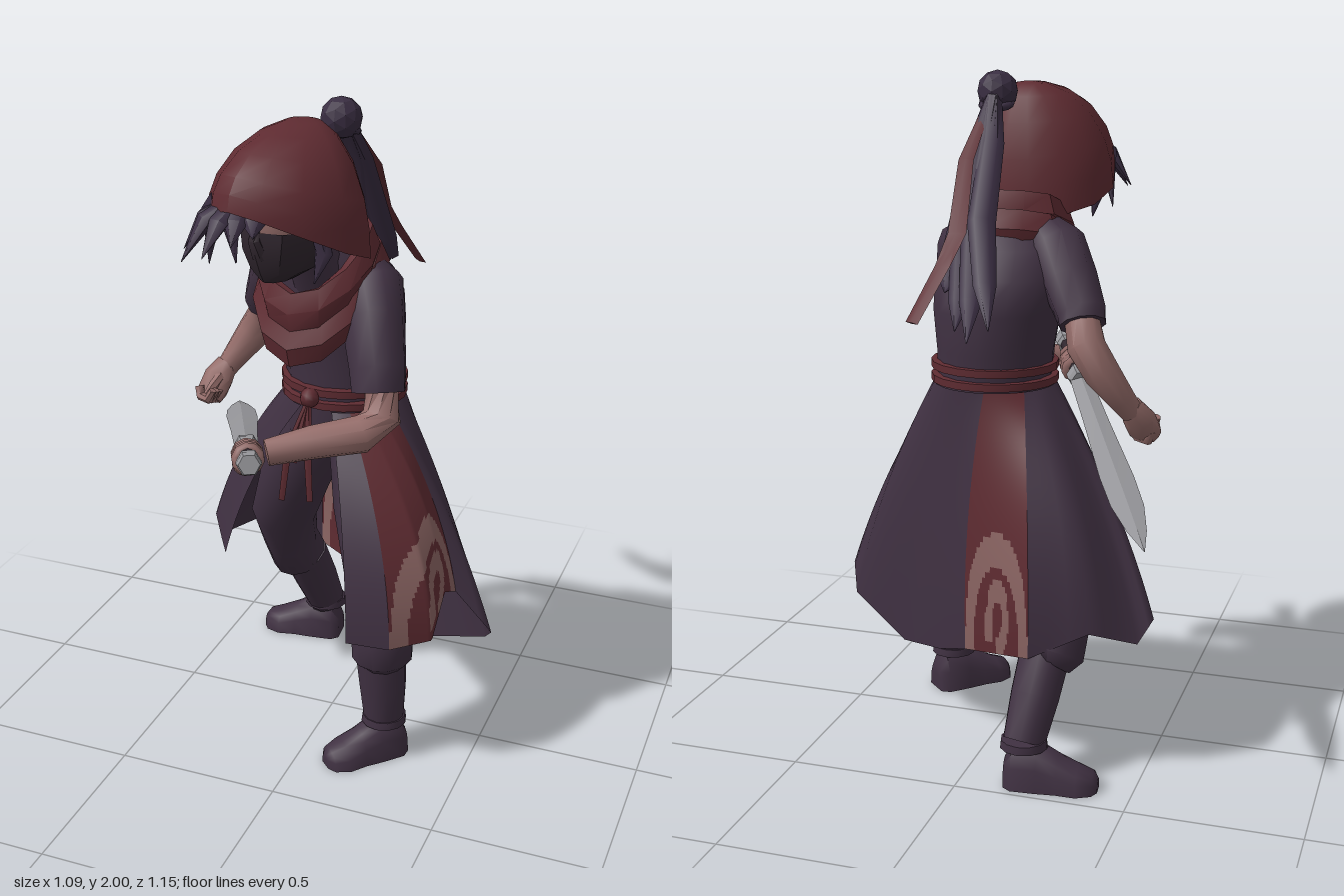
import * as THREE from 'three';
import { toCreasedNormals } from 'three/addons/utils/BufferGeometryUtils.js';

const mat = (name, color, side = THREE.FrontSide) => {
  const m = new THREE.MeshStandardMaterial({ color, side });
  m.name = name;
  return m;
};
const V = (x, y, z) => new THREE.Vector3(x, y, z);

export function createModel() {
  const root = new THREE.Group();
  const cloth = mat('plum cloth', 0x403142, THREE.DoubleSide);
  const red = mat('dark red cloth', 0x5e2b31, THREE.DoubleSide);
  const pink = mat('dusty pattern', 0x8a6462, THREE.DoubleSide);
  const skin = mat('skin', 0x946c69);
  const dark = mat('mask black', 0x30262e);
  const hair = mat('hair', 0x3a2e42);
  const steel = mat('steel', 0x97979b);

  const add = (name, geo, material, parent = root, pos) => {
    const m = new THREE.Mesh(geo, material);
    m.name = name;
    if (pos) m.position.set(...pos);
    parent.add(m);
    return m;
  };

  // Skin a list of rings; rings turn counter-clockwise about the travel direction
  const loft = (rings, { cap = true, loop = false, crease = 0.9 } = {}) => {
    const n = rings[0].length, pos = [], idx = [];
    rings.forEach(r => r.forEach(p => pos.push(p.x, p.y, p.z)));
    const rows = loop ? rings.length : rings.length - 1;
    for (let i = 0; i < rows; i++) for (let j = 0; j < n; j++) {
      const k = (j + 1) % n, i2 = (i + 1) % rings.length;
      const a = i * n + j, b = i * n + k, c = i2 * n + k, d = i2 * n + j;
      idx.push(a, b, c, a, c, d);
    }
    if (cap && !loop) [0, rings.length - 1].forEach((i, e) => {
      const c = V(0, 0, 0);
      rings[i].forEach(p => c.addScaledVector(p, 1 / n));
      const ci = pos.length / 3;
      pos.push(c.x, c.y, c.z);
      for (let j = 0; j < n; j++) {
        const a = i * n + j, b = i * n + (j + 1) % n;
        e ? idx.push(ci, a, b) : idx.push(ci, b, a);
      }
    });
    const g = new THREE.BufferGeometry();
    g.setAttribute('position', new THREE.Float32BufferAttribute(pos, 3));
    g.setIndex(idx);
    g.computeVertexNormals();
    return toCreasedNormals(g, crease);
  };

  // Tapered tube through points [x, y, z, radius, second radius]
  const limb = (pts, n = 10, crease = 0.9) => {
    const P = pts.map(p => V(p[0], p[1], p[2]));
    const all = P[P.length - 1].clone().sub(P[0]).normalize();
    const ref = Math.abs(all.y) > 0.8 ? V(0, 0, 1) : V(0, 1, 0);
    return loft(P.map((p, i) => {
      const T = P[Math.min(i + 1, P.length - 1)].clone().sub(P[Math.max(i - 1, 0)]).normalize();
      const U = ref.clone().cross(T).normalize(), W = T.clone().cross(U);
      const r = pts[i][3], r2 = pts[i][4] ?? r;
      return Array.from({ length: n }, (_, j) => {
        const a = j / n * Math.PI * 2;
        return p.clone().addScaledVector(U, r * Math.cos(a)).addScaledVector(W, r2 * Math.sin(a));
      });
    }), { crease });
  };
  // Level ring; angle 0 faces front and turns toward +x
  const ring = (cx, y, cz, rx, rz, n = 16, yf = () => 0) => Array.from({ length: n }, (_, j) => {
    const a = j / n * Math.PI * 2;
    return V(cx + rx * Math.sin(a), y + yf(Math.cos(a)), cz + rz * Math.cos(a));
  });

  // Torso, leaning forward
  add('tunic', loft([
    [.02, .98, -.05, .175, .16], [.02, 1.1, -.05, .17, .17], [.015, 1.2, -.055, .175, .168], [.01, 1.32, -.055, .19, .18],
    [0, 1.42, -.04, .2, .172], [0, 1.5, -.01, .18, .14], [0, 1.56, .02, .14, .11], [0, 1.6, .04, .09, .08],
  ].map(r => ring(...r))), cloth);
  add('neck', limb([[0, 1.48, .06, .09], [-.03, 1.64, .15, .07]]), cloth);

  // Belt cords, knot and hanging ends
  for (const y of [1.115, 1.155])
    add('beltCord', loft([[.165, -.015], [.19, -.011], [.19, .011], [.165, .015]]
      .map(([r, dy]) => ring(.02, y + dy, -.05, r, r * .96, 20)), { loop: true }), red);
  add('beltKnot', new THREE.SphereGeometry(.03, 8, 6), red, root, [-.02, 1.14, .135]);
  for (const [x, y] of [[-.09, .82], [.0, .83], [-.05, .95]])
    add('beltEnd', limb([[-.02, 1.14, .14, .008], [x * .7 - .01, .98, .18, .012, .005], [x, y, .19, .01, .004]], 5), red);

  // Open skirt: columns of [waist angle, hem x, y, z, fullness] per panel
  const skirtPoint = (col, v) => {
    const a = col[0] * Math.PI / 180;
    const W = V(.02 + .182 * Math.sin(a), 1.1, -.05 + .178 * Math.cos(a));
    const H = V(col[1], col[2], col[3]), C = W.clone().lerp(H, col[4]);
    C.y = W.y + (H.y - W.y) * .48;
    return W.multiplyScalar((1 - v) ** 2).addScaledVector(C, 2 * v * (1 - v)).addScaledVector(H, v * v);
  };
  // Broad arch with a curl inside, in panel coordinates
  const isPattern = (u, v) => {
    const p = (u - .5) * 2, q = (1 - v) / .48;
    const r = (Math.abs(p) ** 2.5 + q ** 2.5) ** .4, s = Math.hypot(p - .05, q - .3);
    return (r > .7 && r < .98) || (s > .14 && s < .34 && !(p < 0 && q < .3))
      || (p > -.36 && p < -.12 && q < .32 && q > .1);
  };
  const panel = (name, cols, patterned) => {
    const nu = patterned ? 40 : (cols.length - 1) * 3, nv = 44;
    const pos = [], plain = [], marked = [];
    for (let i = 0; i <= nu; i++) {
      const f = i / nu * (cols.length - 1), k = Math.min(Math.floor(f), cols.length - 2);
      const col = cols[k].map((c, m) => c + (cols[k + 1][m] - c) * (f - k));
      for (let j = 0; j <= nv; j++) pos.push(...skirtPoint(col, j / nv).toArray());
    }
    for (let i = 0; i < nu; i++) for (let j = 0; j < nv; j++) {
      const a = i * (nv + 1) + j, b = a + nv + 1;
      const list = patterned && isPattern((i + .5) / nu, (j + .5) / nv) ? marked : plain;
      list.push(a, a + 1, b, b, a + 1, b + 1);
    }
    const g = new THREE.BufferGeometry();
    g.setAttribute('position', new THREE.Float32BufferAttribute(pos, 3));
    g.setIndex([...plain, ...marked]);
    g.addGroup(0, plain.length, 0);
    g.addGroup(plain.length, marked.length, 1);
    g.computeVertexNormals();
    add(name, g, [patterned ? red : cloth, pink]);
  };
  const backR = [-135, -.185, .37, -.385, 1.2], backL = [-173, .04, .33, -.28, 1.15];
  const sideB = [66, .43, .56, .09, .8], sideF = [25, .31, .48, .35, 1];
  panel('skirtBackRedPanel', [backL, backR], true);
  panel('skirtRightPanel', [backR, [-122, -.36, .46, -.37, .9], [-105, -.48, .41, -.28, .72], [-85, -.52, .48, -.25, .68],
    [-55, -.42, .49, -.08, .7], [-25, -.36, .5, .02, .7]]);
  panel('skirtLeftPanel', [sideB, [74, .54, .43, .07, .65], [100, .5, .36, -.01, .68], [140, .3, .26, -.11, .8],
    [165, .15, .29, -.21, 1], [187, .04, .33, -.28, 1.15]]);
  panel('skirtLeftRedPanel', [sideF, [38, .415, .49, .27, .95], [52, .42, .6, .17, .88], sideB], true);
  panel('skirtFrontPanel', [[8, .18, .48, .36, .95], sideF]);

  // Legs and boots
  const leg = (side, trouser, boot, heel, toe) => {
    add(side + 'Trouser', limb(trouser, 12), cloth);
    add(side + 'BootShaft', limb(boot, 12), cloth);
    const [x, y, z] = boot[boot.length - 1];
    add(side + 'BootCuff', limb([[x, y + .012, z, .067], [x, y - .012, z, .07]], 12), cloth);
    const dx = toe[0] - heel[0], dz = toe[1] - heel[1], s = Math.hypot(dx, dz) / .28;
    const foot = add(side + 'Boot', loft([
      [0, .04, .08], [.025, .06, .13], [.1, .062, .135], [.16, .06, .1], [.22, .066, .07], [.265, .048, .055], [.28, .022, .035],
    ].map(([l, w, h]) => Array.from({ length: 9 }, (_, j) => {
      const a = j / 8 * Math.PI;
      return V(w * Math.cos(a), h * Math.max(Math.sin(a), 0) ** .7, l * s);
    }))), cloth, root, [heel[0], 0, heel[1]]);
    foot.rotation.y = Math.atan2(dx, dz);
  };
  leg('left', [[.1, 1.0, -.02, .115], [.155, .8, .09, .11], [.21, .6, .17, .097], [.235, .42, .195, .093], [.237, .36, .195, .093], [.235, .345, .19, .07]],
    [[.23, .37, .19, .077], [.237, .25, .185, .072], [.24, .13, .18, .062]], [.285, .13], [.1, .32]);
  leg('right', [[-.06, 1.0, -.07, .12], [-.15, .8, -.09, .115], [-.23, .6, -.16, .105], [-.245, .45, -.25, .09], [-.235, .36, -.3, .093], [-.225, .34, -.31, .07]],
    [[-.215, .38, -.29, .076], [-.2, .25, -.36, .072], [-.185, .13, -.42, .062]], [-.13, -.425], [-.4, -.395]);

  // Arms
  const arm = (side, sleeve, fore) => {
    add(side + 'Sleeve', limb(sleeve), cloth);
    add(side + 'Forearm', limb(fore), skin);
  };
  arm('left', [[.09, 1.53, .02, .06], [.135, 1.48, .05, .095], [.165, 1.4, .11, .092], [.205, 1.28, .18, .082], [.215, 1.22, .2, .078]],
    [[.215, 1.26, .18, .05], [.23, 1.15, .21, .056], [.19, 1.115, .27, .055], [.07, 1.1, .34, .048], [-.04, 1.08, .41, .038]]);
  arm('right', [[-.1, 1.55, 0, .06], [-.16, 1.5, -.03, .09], [-.22, 1.41, -.09, .082], [-.27, 1.33, -.15, .073], [-.278, 1.305, -.165, .068]],
    [[-.265, 1.34, -.14, .05], [-.3, 1.25, -.205, .057], [-.345, 1.18, -.205, .054], [-.4, 1.1, -.18, .04], [-.425, 1.06, -.16, .034]]);
  add('rightPalm', limb([[-.42, 1.08, -.165, .034], [-.44, 1.04, -.14, .052, .042], [-.45, 1.0, -.11, .052, .04], [-.45, .975, -.09, .038, .026]], 8), skin);
  for (let i = 0; i < 4; i++) {
    const z = -.14 + i * .024, y = .985 + i * .008;
    add('rightFinger', limb([[-.475, y + .02, z, .014], [-.465, y - .01, z + .01, .016], [-.43, y - .008, z + .03, .015], [-.415, y + .025, z + .03, .012]], 6), skin);
  }
  add('rightThumb', limb([[-.42, 1.06, -.13, .016], [-.43, 1.035, -.08, .016], [-.45, 1.0, -.06, .011]], 6), skin);

  // Sword held in the left hand
  const pommel = V(-.03, 1.11, .55), tip = V(-.55, .78, -.53);
  const dir = tip.clone().sub(pommel).normalize();
  const along = (t, ...r) => [...pommel.clone().lerp(tip, t).toArray(), ...r];
  add('blade', limb([along(.22, .034, .01), along(.45, .04, .01), along(.7, .05, .01), along(.82, .047, .009), along(.92, .028, .006), along(1, .001, .001)], 4, .2), steel);
  add('handle', limb([along(.02, .025), along(.22, .025)], 8), dark);
  add('pommel', limb([along(-.015, .03), along(0, .036), along(.03, .036), along(.04, .024)], 6, .2), steel);
  add('guard', limb([along(.19, .03), along(.2, .04), along(.225, .04), along(.235, .03)], 6, .2), steel);
  const palm = add('leftPalm', new THREE.SphereGeometry(.058, 10, 8), skin, root, along(.125));
  palm.position.y -= .014;
  palm.quaternion.setFromUnitVectors(V(0, 0, 1), dir);
  palm.scale.set(.88, .74, 1.15);
  for (let i = 0; i < 4; i++) {
    const f = add('leftFinger', new THREE.TorusGeometry(.031, .0165, 6, 10), skin, root, along(.095 + i * .021));
    f.position.y -= .008;
    f.quaternion.copy(palm.quaternion);
  }

  // Head, turned to its right
  const head = new THREE.Group();
  head.name = 'head';
  head.position.set(-.038, 1.6, .19);
  head.rotation.y = -.3;
  root.add(head);
  add('face', new THREE.SphereGeometry(1, 16, 12), skin, head, [0, .115, .02]).scale.set(.12, .165, .145);
  // Angular face cover tapering to the chin
  add('mask', loft([[-.055, .04, .07, .065], [-.025, .085, .05, .1], [.03, .115, .03, .14], [.07, .123, .02, .152], [.095, .124, .02, .15]]
    .map(([y, rx, cz, rz]) => ring(0, y, cz, rx, rz, 10)), { cap: false, crease: .5 }), dark, head);
  add('maskNose', limb([[0, .1, .16, .012], [0, .075, .172, .02, .016], [0, .02, .15, .03, .015]], 6), dark, head);
  for (const s of [-1, 1]) {
    const eye = add('eye', new THREE.BoxGeometry(.04, .012, .008), dark, head, [s * .05, .128, .151]);
    eye.rotation.y = s * .4;
  }

  // Hood: a faceted dome narrowing to front and back, its rim rising to a brow point
  const hoodRings = [0, .15, .3, .5, .7, .87, 1].map(s => Array.from({ length: 14 }, (_, j) => {
    const a = j / 14 * Math.PI * 2, c = Math.cos(a), t = s * Math.PI / 2;
    const rad = Math.max(Math.cos(t), 0) ** .95, hem = .03 + (c > 0 ? .145 * c ** 1.2 : .07 * c);
    return V(.238 * Math.sin(a) * rad * (1 - .25 * c * c), hem + (.365 - hem) * Math.sin(t), c * (c > 0 ? .275 : .195) * rad - .06 * (1 - rad));
  }));
  add('hood', loft(hoodRings, { cap: false, crease: .7 }), red, head);

  // Fringe, swept to the right side
  for (const [bx, tx, ty, tz] of [[-.15, -.28, 1.64, .39], [-.14, -.25, 1.63, .47], [-.13, -.17, 1.66, .51], [-.11, -.1, 1.69, .48],
    [-.18, -.24, 1.58, .32], [-.07, -.05, 1.71, .45]])
    add('fringeLock', limb([[bx, 1.78, .37, .03, .02], [(bx + tx) / 2, 1.74, (.39 + tz) / 2, .032, .022], [tx, ty, tz, .001]], 6), hair);
  for (const s of [-1, 1])
    add('sideLock', limb([[s * .15, .12, .08, .03], [s * .165, .05, .08, .03, .015], [s * .14, -.04, .09, .002]], 6), hair, head);

  // Bun, ponytail and ribbon
  add('bun', toCreasedNormals(new THREE.IcosahedronGeometry(.06, 1), .05), hair, root, [.03, 1.94, .01]);
  add('bunBand', new THREE.TorusGeometry(.042, .012, 6, 12), hair, root, [.03, 1.905, .0]).rotation.x = 1.3;
  for (const [mx, my, tx, ty, tz] of [[-.02, 1.6, -.12, 1.35, -.54], [.0, 1.55, -.07, 1.32, -.57], [.03, 1.52, -.02, 1.34, -.52], [.055, 1.52, .05, 1.42, -.4]])
    add('ponytailLock', limb([[.03, 1.92, -.03, .025], [.03 + (mx - .03) * .5, 1.8, -.12, .035, .02], [mx, my, -.29, .04, .024],
      [(mx + tx) / 2, (my + ty) / 2 - .03, (tz - .29) / 2, .032, .016], [tx, ty, tz, .002]], 6), hair);
  add('ribbon', limb([[.04, 1.92, -.03, .012, .004], [.055, 1.76, -.2, .022, .004], [.02, 1.58, -.38, .026, .004],
    [.035, 1.5, -.46, .026, .004], [.09, 1.36, -.55, .026, .004]], 4), red);

  // Scarf: two folds, high at the nape and dropping to a point in front
  const fold = (y, drop, rx, rz, cz) => add('scarfFold', loft([[.7, -.04], [.95, -.055], [1.03, 0], [.9, .055], [.74, .05]]
    .map(([k, dy]) => ring(0, y + dy, cz, rx * k, rz * k, 12, c => -drop * ((1 + c) / 2) ** 1.9)), { loop: true, crease: .6 }), red)
    .rotation.y = -.18;
  fold(1.56, .235, .195, .18, .065);
  fold(1.61, .18, .175, .16, .08);

  return root;
}
